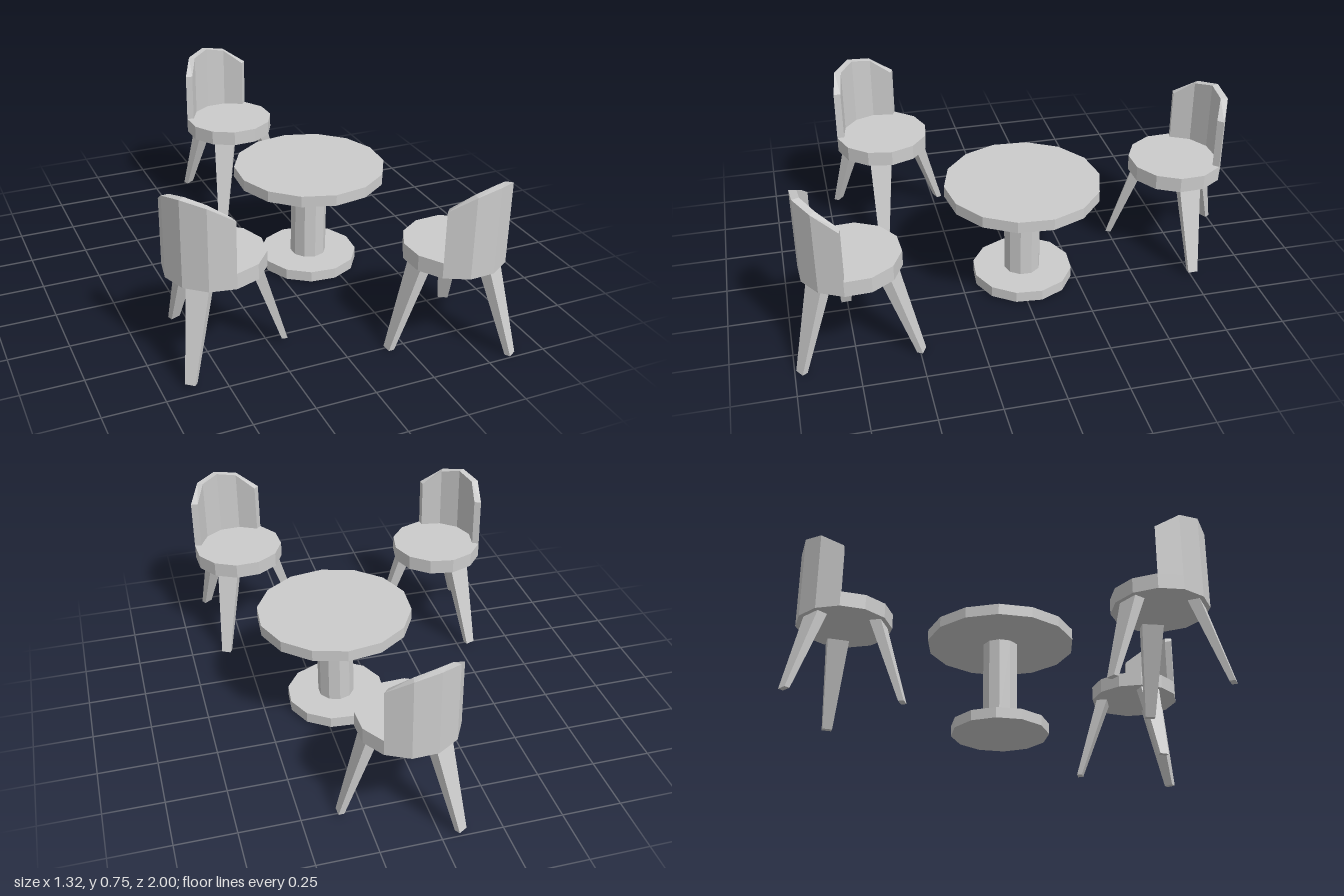
import * as THREE from 'three';

const material = new THREE.MeshStandardMaterial({ color: 0xcccccc, flatShading: true });
const rad = THREE.MathUtils.degToRad;

function add(parent, name, geometry) {
  const mesh = new THREE.Mesh(geometry, material);
  mesh.name = name;
  parent.add(mesh);
  return mesh;
}

// Upright prism between two heights
function disc(parent, name, radius, y0, y1, sides) {
  const mesh = add(parent, name, new THREE.CylinderGeometry(radius, radius, y1 - y0, sides));
  mesh.position.y = (y0 + y1) / 2;
  return mesh;
}

// Moves every vertex of a geometry by a rule
function reshape(geometry, rule) {
  const p = geometry.attributes.position;
  for (let i = 0; i < p.count; i++) p.setXYZ(i, ...rule(p.getX(i), p.getY(i), p.getZ(i)));
  geometry.computeVertexNormals();
  return geometry;
}

const SEAT_R = 0.206, SEAT_BOTTOM = 0.368, SEAT_TOP = 0.434;
const BACK_HEIGHTS = [0.652, 0.714, 0.734, 0.714, 0.652];

// Splayed leg tapering towards the foot, pointing to +z
function legGeometry() {
  return reshape(new THREE.BoxGeometry(1, 1, 1), (x, y, z) => (y > 0
    ? [x * 0.094, SEAT_BOTTOM, 0.155 + z * 0.05]
    : [x * 0.042, 0, 0.277 + z * 0.024]));
}

// Box wrapped round the rear of the seat with an arched rim
function backrestGeometry() {
  return reshape(new THREE.BoxGeometry(4, 1, 1, 4, 1, 1), (x, y, z) => {
    const angle = rad(x * 30);
    const r = z > 0 ? SEAT_R : SEAT_R - 0.031;
    const h = y > 0 ? BACK_HEIGHTS[Math.round(x) + 2] : SEAT_TOP;
    return [r * Math.sin(angle), h, r * Math.cos(angle)];
  });
}

function createChair(name, x, y, z, turn) {
  const chair = new THREE.Group();
  chair.name = name;
  disc(chair, 'seat', SEAT_R, SEAT_BOTTOM, SEAT_TOP, 12);
  add(chair, 'backrest', backrestGeometry());
  for (let i = 0; i < 3; i++) {
    add(chair, 'chairLeg' + (i + 1), legGeometry()).rotation.y = rad(15 + i * 120);
  }
  chair.position.set(x, y, z);
  chair.rotation.y = rad(turn);
  return chair;
}

function createTable() {
  const table = new THREE.Group();
  table.name = 'table';
  disc(table, 'tableTop', 0.332, 0.437, 0.486, 14).rotation.y = rad(176);
  disc(table, 'tableColumn', 0.079, 0.057, 0.437, 10);
  disc(table, 'tableBase', 0.216, 0.01, 0.057, 12).rotation.y = rad(10);
  table.position.set(0.174, 0, -0.023);
  return table;
}

export function createModel() {
  const group = new THREE.Group();
  group.name = 'tableWithChairs';
  group.add(
    createTable(),
    createChair('rearChair', 0.067, 0.018, -0.747, 197),
    createChair('frontLeftChair', 0.459, 0, 0.74, 18),
    createChair('frontRightChair', -0.457, 0.018, 0.488, 305),
  );
  return group;
}
